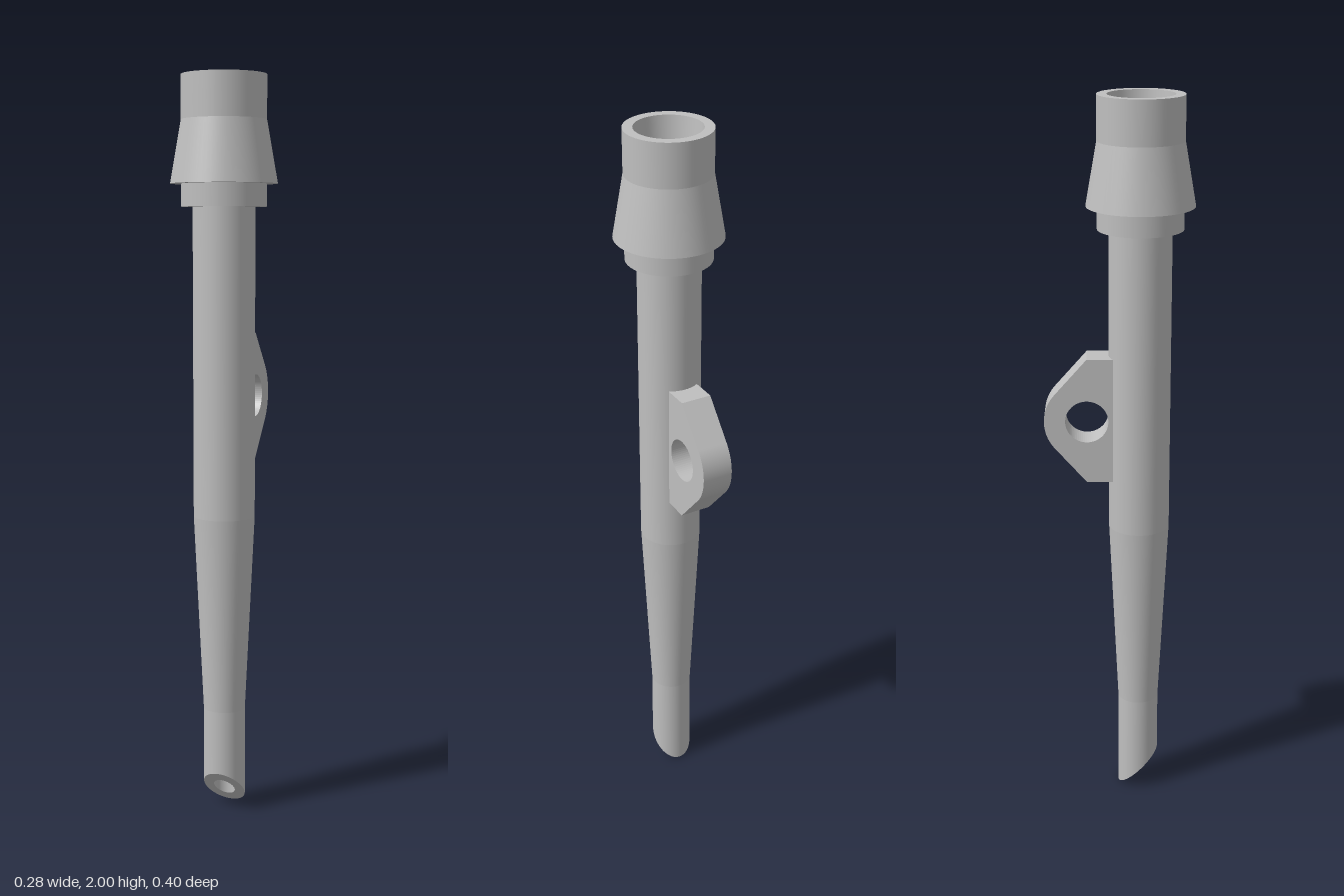
import * as THREE from 'three';

const AXIS_Z = 0.057; // the tube axis sits in front of the lug

export function createModel() {
  const model = new THREE.Group();
  const grey = new THREE.MeshStandardMaterial({ color: 0xbfbfbf });
  grey.name = 'grey';

  // One revolved band per profile segment keeps the edges between bands sharp.
  // Points at y = 0 are moved onto the 45 degree cut of the tip.
  function revolve(name, profile) {
    const part = new THREE.Group();
    part.name = name;
    for (let i = 0; i < profile.length - 1; i++) {
      const ends = [profile[i], profile[i + 1]];
      const geo = new THREE.LatheGeometry(ends.map(([r, y]) => new THREE.Vector2(r, y)), 64);
      const pos = geo.attributes.position;
      for (let v = 0; v < pos.count; v++) {
        if (pos.getY(v) === 0) pos.setY(v, pos.getZ(v) + AXIS_Z);
      }
      if (ends.every(([, y]) => y === 0)) geo.computeVertexNormals();
      part.add(new THREE.Mesh(geo, grey));
    }
    part.position.z = AXIS_Z;
    model.add(part);
  }

  // Bored channel, from the mouth down to the tip
  revolve('bore', [[0.087, 2], [0.058, 1.66], [0.058, 0.83], [0.029, 0.29], [0.029, 0]]);
  // Slanted ring at the tip
  revolve('tipCut', [[0.029, 0], [0.057, 0]]);
  // Straight tip, taper and main tube
  revolve('tube', [[0.057, 0], [0.057, 0.29], [0.083, 0.83], [0.083, 1.66]]);
  // Collar below the head
  revolve('collar', [[0.083, 1.66], [0.113, 1.66], [0.113, 1.72]]);
  // Flared head with its rim
  revolve('head', [[0.113, 1.72], [0.142, 1.72], [0.113, 1.885], [0.113, 2], [0.087, 2]]);

  // Lug on the back: drawn with u pointing backwards, v up from the hole centre
  const R = 0.115, H = 0.174, WIDTH = 0.084, HOLE_U = 0.085;
  const tangent = Math.PI / 2 - Math.acos(R / H);
  const outline = new THREE.Shape();
  outline.moveTo(0.014, -H);
  outline.lineTo(HOLE_U, -H);
  outline.absarc(HOLE_U, 0, R, -tangent, tangent, false);
  outline.lineTo(HOLE_U, H);
  outline.lineTo(0.014, H);
  outline.closePath();
  const hole = new THREE.Path();
  hole.absarc(HOLE_U, 0, 0.058, 0, Math.PI * 2, true);
  outline.holes.push(hole);
  const lugGeo = new THREE.ExtrudeGeometry(outline, { depth: WIDTH, bevelEnabled: false, curveSegments: 32 });
  lugGeo.translate(0, 0, -WIDTH / 2);
  lugGeo.rotateY(Math.PI / 2);
  const lug = new THREE.Mesh(lugGeo, grey);
  lug.name = 'lug';
  lug.position.y = 1.146;
  model.add(lug);

  return model;
}
